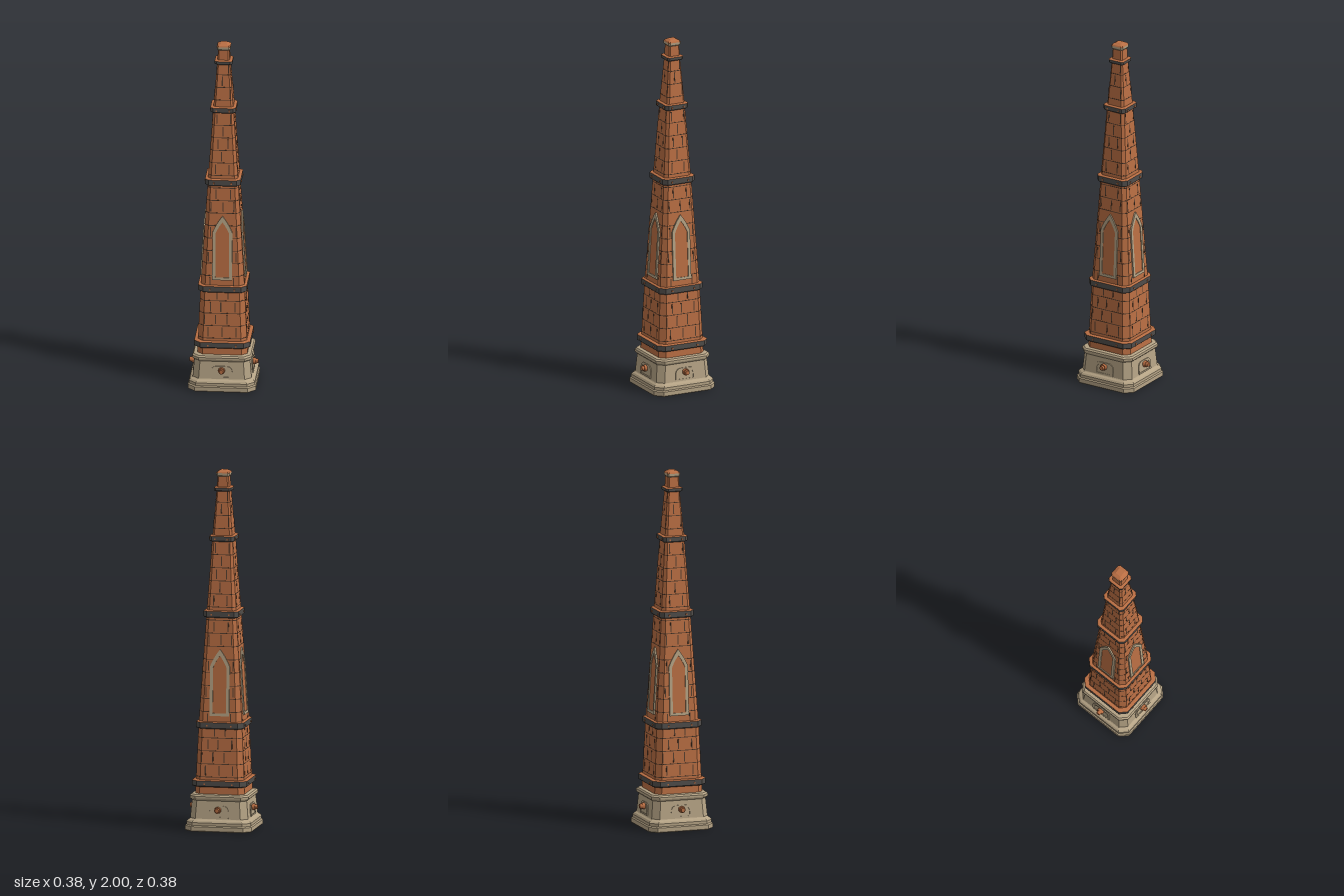
import * as THREE from 'three';

const mat = (name, color) => {
  const m = new THREE.MeshStandardMaterial({ color, flatShading: true });
  m.name = name;
  return m;
};

// Solid from stacked chamfered squares; profile rows are [half width, y]
function chamferLoft(profile, ratio = 0.22) {
  const rings = profile.map(([h, y]) => {
    const k = h * (1 - ratio);
    return [[h, -k], [h, k], [k, h], [-k, h], [-h, k], [-h, -k], [-k, -h], [k, -h]].map(([x, z]) => [x, y, z]);
  });
  const pos = [];
  const tri = (...pts) => pts.forEach((p) => pos.push(...p));
  const last = rings.length - 1;
  for (let i = 0; i < 8; i++) {
    const j = (i + 1) % 8;
    for (let r = 0; r < last; r++) {
      tri(rings[r][i], rings[r + 1][i], rings[r + 1][j]);
      tri(rings[r][i], rings[r + 1][j], rings[r][j]);
    }
    tri([0, profile[0][1], 0], rings[0][i], rings[0][j]);
    tri([0, profile[last][1], 0], rings[last][j], rings[last][i]);
  }
  const g = new THREE.BufferGeometry();
  g.setAttribute('position', new THREE.Float32BufferAttribute(pos, 3));
  g.computeVertexNormals();
  return g;
}

// Half width of the tapering shaft
const TAPER = [[0.139, 0.2], [0.122, 0.59], [0.084, 1.205], [0.056, 1.625], [0.034, 1.9], [0.031, 1.97]];
function halfAt(y) {
  for (let i = 1; i < TAPER.length; i++) {
    const [h0, y0] = TAPER[i - 1], [h1, y1] = TAPER[i];
    if (y <= y1) return h0 + ((h1 - h0) * (y - y0)) / (y1 - y0);
  }
  return 0.031;
}
const tiltAt = (y) => -Math.atan((halfAt(y - 0.01) - halfAt(y + 0.01)) / 0.02);

// Pointed window outline
function lancet(w, bottom, shoulder, tip, Type = THREE.Shape) {
  const s = new Type();
  s.moveTo(-w, bottom);
  s.lineTo(w, bottom);
  s.lineTo(w, shoulder);
  s.quadraticCurveTo(w * 0.62, shoulder + (tip - shoulder) * 0.55, 0, tip);
  s.quadraticCurveTo(-w * 0.62, shoulder + (tip - shoulder) * 0.55, -w, shoulder);
  s.closePath();
  return s;
}

// Round-shouldered panel outline for the plinth
function archPanel(w, bottom, top, Type = THREE.Shape) {
  const s = new Type();
  const r = w * 0.6;
  s.moveTo(-w, bottom);
  s.lineTo(w, bottom);
  s.lineTo(w, top - r);
  s.quadraticCurveTo(w, top, w - r, top);
  s.lineTo(-w + r, top);
  s.quadraticCurveTo(-w, top, -w, top - r);
  s.closePath();
  return s;
}

const extrude = (shape, depth) =>
  new THREE.ExtrudeGeometry(shape, { depth, bevelEnabled: false, curveSegments: 5 });

export function createModel() {
  const brick = mat('brick', 0xb96e43);
  const mortar = mat('mortar', 0x573f2f);
  const stone = mat('stone', 0xb5a385);
  const iron = mat('iron', 0x504d4a);

  const model = new THREE.Group();
  const add = (parent, name, geometry, material, x = 0, y = 0, z = 0) => {
    const m = new THREE.Mesh(geometry, material);
    m.name = name;
    m.position.set(x, y, z);
    parent.add(m);
    return m;
  };

  // Stepped stone plinth
  add(model, 'plinth', chamferLoft([
    [0.183, 0], [0.188, 0.005], [0.188, 0.028], [0.182, 0.034], [0.182, 0.05], [0.175, 0.06],
    [0.166, 0.066], [0.163, 0.07], [0.154, 0.17], [0.163, 0.178], [0.165, 0.184], [0.165, 0.194],
    [0.158, 0.203], [0.138, 0.206],
  ]), stone);

  // Brick shaft
  add(model, 'shaft', chamferLoft(TAPER), brick);

  // Upright iron bands, each topped by a thin brick ledge
  const bands = [[0.263, 0.155, 0.034], [0.586, 0.135, 0.036], [1.202, 0.099, 0.036], [1.62, 0.071, 0.03], [1.893, 0.049, 0.02]];
  for (const [y, h, t] of bands) {
    const top = y + t / 2;
    add(model, 'band', chamferLoft([
      [h - 0.006, y - t / 2], [h, y - t / 2 + 0.005], [h, top],
    ]), iron);
    add(model, 'bandLedge', chamferLoft([
      [h, top], [h - 0.005, top + 0.003], [halfAt(y) + 0.001, top + 0.004],
    ]), brick);
  }

  // Capstone
  add(model, 'capRim', chamferLoft([[0.031, 1.964], [0.037, 1.97], [0.038, 1.984]]), stone);
  add(model, 'capstone', chamferLoft([[0.038, 1.984], [0.034, 1.991], [0.021, 1.998], [0.018, 2]]), brick);

  // Horizontal mortar courses
  const courses = [];
  for (let y = 0.3; y < 1.87; y += 0.0725) {
    courses.push(y);
    if (bands.some((b) => Math.abs(b[0] - y) < 0.022)) continue;
    const h = halfAt(y) + 0.0006;
    add(model, 'mortarCourse', chamferLoft([[h, y - 0.002], [h, y + 0.002]]), mortar);
  }

  // Details repeated on all four sides
  const nicheY = 0.64;
  for (let side = 0; side < 4; side++) {
    const face = new THREE.Group();
    face.name = 'sideDetails';
    face.rotation.y = (side * Math.PI) / 2;
    model.add(face);

    // Staggered upright joints, slightly uneven
    courses.forEach((y0, row) => {
      const y = y0 + 0.036;
      const flat = halfAt(y) * 0.76;
      if (bands.some((b) => Math.abs(b[0] - y) < 0.03)) return;
      for (let n = -3; n <= 3; n++) {
        const x = (n + (row % 2 ? 0.5 : 0)) * 0.07 + 0.008 * Math.sin(row * 5.3 + n * 2.1);
        if (Math.abs(x) > flat) continue;
        if (y > 0.62 && y < 1.01 && Math.abs(x) < 0.06) continue;
        const joint = add(face, 'mortarJoint', new THREE.BoxGeometry(0.006, 0.054, 0.002), mortar, x, y, halfAt(y));
        joint.rotation.x = tiltAt(y);
      }
    });

    // Pointed blind window
    const niche = new THREE.Group();
    niche.name = 'blindWindow';
    niche.position.set(0, nicheY, halfAt(nicheY));
    niche.rotation.x = tiltAt(nicheY + 0.1);
    face.add(niche);
    const frame = lancet(0.055, 0, 0.275, 0.37);
    frame.holes.push(lancet(0.038, 0.015, 0.268, 0.335, THREE.Path));
    add(niche, 'windowFrame', extrude(frame, 0.01), stone, 0, 0, -0.002);
    add(niche, 'windowPanel', extrude(lancet(0.041, 0.01, 0.27, 0.342), 0.006), brick, 0, 0, -0.002);

    // Plinth panel with a round knob
    const panel = new THREE.Group();
    panel.name = 'plinthPanel';
    panel.position.set(0, 0.074, 0.1625);
    panel.rotation.x = -0.09;
    face.add(panel);
    const surround = archPanel(0.06, 0, 0.07);
    surround.holes.push(archPanel(0.047, 0.008, 0.059, THREE.Path));
    add(panel, 'panelSurround', extrude(surround, 0.007), stone, 0, 0, -0.002);
    add(panel, 'panelFace', extrude(archPanel(0.05, 0.006, 0.062), 0.004), stone, 0, 0, -0.002);
    const flange = add(face, 'knobFlange', new THREE.CylinderGeometry(0.018, 0.019, 0.018, 12), brick, 0, 0.12, 0.168);
    const knob = add(face, 'knob', new THREE.CylinderGeometry(0.012, 0.014, 0.014, 12), brick, 0, 0.12, 0.183);
    flange.rotation.x = knob.rotation.x = Math.PI / 2;

    // Rivets on the bands
    for (const [y, h] of bands.slice(0, 4))
      for (const s of [-1, 1])
        add(face, 'rivet', new THREE.BoxGeometry(0.008, 0.008, 0.006), brick, s * h * 0.5, y, h + 0.001);
  }

  return model;
}
